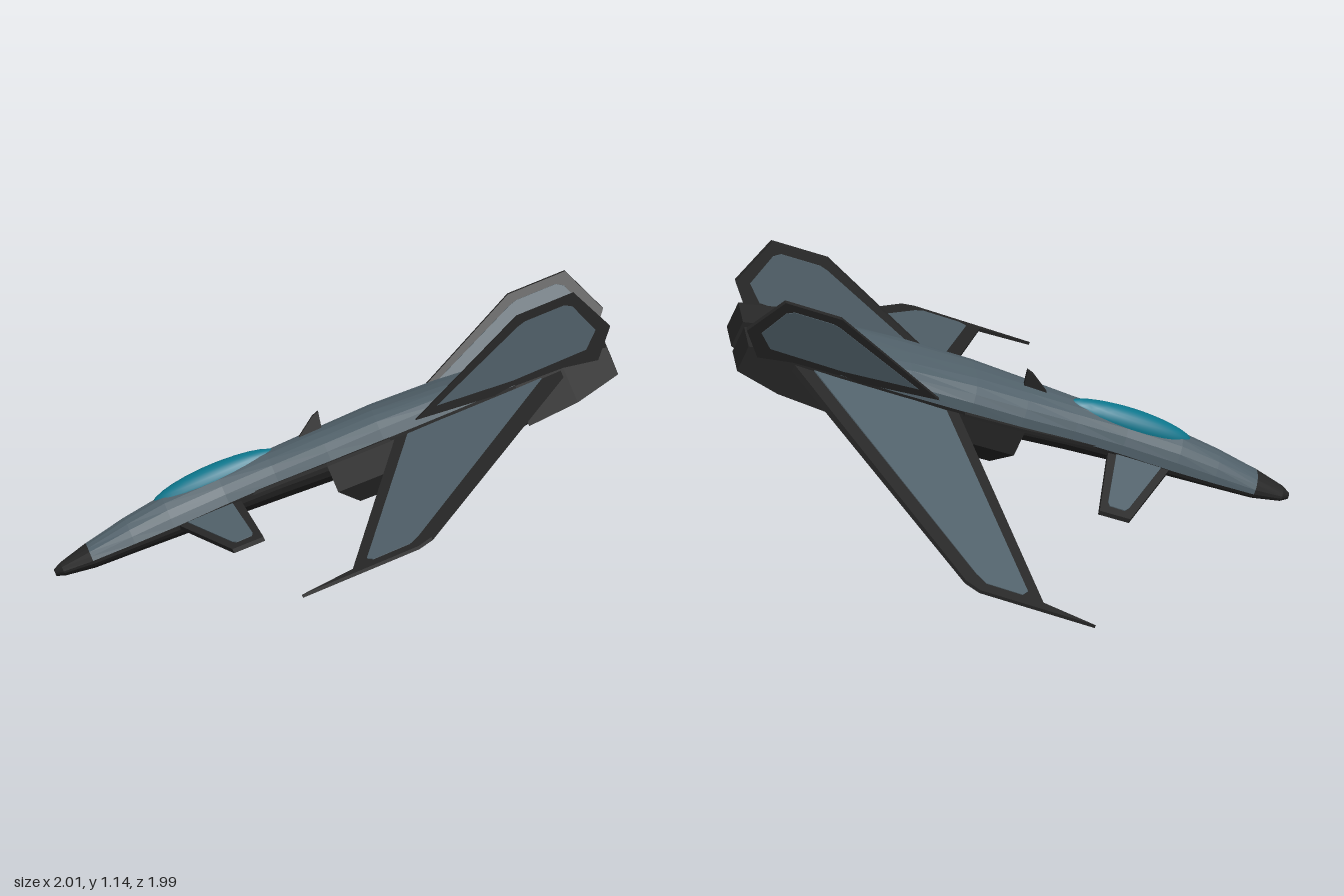
import * as THREE from 'three';

const mat = (name, color, side = THREE.FrontSide) => {
  const m = new THREE.MeshStandardMaterial({ color, side });
  m.name = name;
  return m;
};

// Aircraft axes: x runs from nose to tail, y is up, z points to the left wing.
export function createModel() {
  const dark = mat('dark trim', 0x272727);
  const grey = mat('slate panel', 0x51616a);
  const teal = mat('teal glass', 0x0c778d);

  const model = new THREE.Group();
  model.name = 'jet';
  const craft = new THREE.Group();
  craft.name = 'airframe';
  model.add(craft);

  const add = (name, geometry, material) => {
    const mesh = new THREE.Mesh(geometry, material);
    mesh.name = name;
    craft.add(mesh);
    return mesh;
  };

  // Flat-shaded skin over rings of [x, y, z], capped at both ends
  function loft(rings) {
    const n = rings[0].length, pos = [];
    const tri = (a, b, c) => pos.push(...a, ...b, ...c);
    for (let i = 0; i < rings.length - 1; i++) {
      for (let j = 0; j < n; j++) {
        const k = (j + 1) % n, p = rings[i], q = rings[i + 1];
        tri(p[j], q[j], p[k]);
        tri(p[k], q[j], q[k]);
      }
    }
    const first = rings[0], last = rings[rings.length - 1];
    for (let j = 1; j < n - 1; j++) {
      tri(first[0], first[j], first[j + 1]);
      tri(last[0], last[j + 1], last[j]);
    }
    const g = new THREE.BufferGeometry();
    g.setAttribute('position', new THREE.Float32BufferAttribute(pos, 3));
    g.computeVertexNormals();
    return g;
  }

  // Extruded outline whose points are moved by a rule; flip repairs mirrored winding
  function plate(outline, d0, d1, rule, flip) {
    const shape = new THREE.Shape(outline.map(p => new THREE.Vector2(...p)));
    const g = new THREE.ExtrudeGeometry(shape, { depth: d1 - d0, bevelEnabled: false });
    const p = g.attributes.position, pts = [];
    for (let i = 0; i < p.count; i++) pts.push(rule(p.getX(i), p.getY(i), p.getZ(i) + d0));
    if (flip) for (let i = 0; i < pts.length; i += 3) [pts[i + 1], pts[i + 2]] = [pts[i + 2], pts[i + 1]];
    const out = new THREE.BufferGeometry();
    out.setAttribute('position', new THREE.Float32BufferAttribute(pts.flat(), 3));
    out.computeVertexNormals();
    return out;
  }

  // Fuselage stations: x, half width, waterline, top, bottom, roundness
  const stations = [
    [0, 0.012, 0, 0.012, -0.012, 1],
    [0.03, 0.04, 0, 0.026, -0.022, 1],
    [0.14, 0.072, 0, 0.054, -0.037, 1],
    [0.3, 0.083, 0, 0.086, -0.043, 1],
    [0.45, 0.088, 0, 0.107, -0.05, 1],
    [0.66, 0.092, 0.005, 0.11, -0.06, 1],
    [0.85, 0.108, 0.01, 0.108, -0.07, 0.95],
    [1.05, 0.133, 0.01, 0.11, -0.08, 0.9],
    [1.25, 0.15, 0.01, 0.11, -0.09, 0.8],
    [1.5, 0.163, 0.01, 0.095, -0.1, 0.7],
    [1.75, 0.168, 0.01, 0.065, -0.1, 0.6],
  ];
  function halfRing([x, w, mid, top, bottom, e], upper) {
    const ring = [];
    for (let i = 0; i <= 10; i++) {
      const a = Math.PI * i / 10 + (upper ? 0 : Math.PI);
      const c = Math.cos(a), s = Math.abs(Math.sin(a)) ** e;
      ring.push([x, mid + s * (upper ? top - mid : bottom - mid), Math.sign(c) * Math.abs(c) ** e * w]);
    }
    return ring;
  }
  const nose = stations.slice(0, 3), body = stations.slice(2);
  for (const upper of [true, false]) {
    const side = upper ? 'upper' : 'lower';
    add(side + 'NoseCone', loft(nose.map(s => halfRing(s, upper))), dark);
    add(side + 'Fuselage', loft(body.map(s => halfRing(s, upper))), upper ? grey : dark);
  }

  // Canopy
  const canopy = add('canopy', new THREE.SphereGeometry(1, 24, 14), teal);
  canopy.scale.set(0.245, 0.056, 0.054);
  canopy.position.set(0.65, 0.085, 0);

  // Belly intake with a slanted mouth: x, top, bottom, half width, slant
  const intake = [
    [1.03, 0, -0.17, 0.138, 0.06],
    [1.5, 0, -0.18, 0.16, 0],
    [1.78, 0, -0.14, 0.165, 0],
  ].map(([x, t, b, w, d]) => [
    [x + d, b, 0.72 * w], [x, 0.6 * b, w], [x, t, w],
    [x, t, -w], [x, 0.6 * b, -w], [x + d, b, -0.72 * w],
  ]);
  add('intake', loft(intake), dark);

  // Blade antenna on the spine
  add('antenna', plate([[0.95, 0.09], [1.06, 0.09], [1.075, 0.168], [1.05, 0.16]],
    -0.009, 0.009, (x, y, d) => [x, y, d], false), dark);

  const wingOutline = [[1.305, 0.1], [0.975, 0.97], [0.774, 1.002], [1.218, 1.007], [1.274, 0.98], [1.97, 0.1]];
  const wingPanel = [[1.335, 0.16], [1.035, 0.94], [1.055, 0.965], [1.195, 0.965], [1.235, 0.93], [1.85, 0.16]];
  const canardOutline = [[0.455, 0.06], [0.609, 0.353], [0.727, 0.357], [0.7, 0.06]];
  const canardPanel = [[0.5, 0.09], [0.617, 0.31], [0.632, 0.325], [0.69, 0.325], [0.697, 0.31], [0.672, 0.09]];
  const finOutline = [[1.38, 0.035], [1.85, 0.247], [2.067, 0.244], [2.14, 0.075], [2.05, -0.03], [1.7, 0]];
  const finPanel = [[1.47, 0.055], [1.84, 0.21], [1.87, 0.218], [2.02, 0.216], [2.045, 0.2], [2.088, 0.085], [2.03, 0.03], [1.75, 0.03]];
  const strake = [[0.64, 0.08], [1.03, 0.145], [1.27, 0.17], [1.27, 0.08]];

  for (const side of [1, -1]) {
    const label = side > 0 ? 'left' : 'right';
    const flip = side > 0;

    // Forward-swept drooping wing, thinner towards the tip
    const wing = (x, s, d) => [x, -0.025 - 0.245 * (s - 0.19) + d * (1.2 - 0.7 * s), side * s];
    add(label + 'Wing', plate(wingOutline, -0.012, 0.012, wing, flip), dark);
    add(label + 'WingPanel', plate(wingPanel, 0.01, 0.016, wing, flip), grey);

    // Canard
    const canard = (x, s, d) => [x, -0.01 - 0.37 * (s - 0.09) + d, side * s];
    add(label + 'Canard', plate(canardOutline, -0.008, 0.008, canard, flip), dark);
    add(label + 'CanardPanel', plate(canardPanel, 0.006, 0.011, canard, flip), grey);

    // Edge strake
    add(label + 'Strake', plate(strake, -0.006, 0.006, (x, s, d) => [x, 0.005 + d, side * s], flip), dark);

    // Canted tail fin with a panel on each face
    const fin = (x, y, d) => [x, y, side * (0.155 + 0.24 * y + d)];
    add(label + 'Fin', plate(finOutline, -0.01, 0.01, fin, !flip), dark);
    add(label + 'FinOuterPanel', plate(finPanel, 0.008, 0.013, fin, !flip), grey);
    add(label + 'FinInnerPanel', plate(finPanel, -0.013, -0.008, fin, !flip), grey);

    // Flat exhaust nozzle
    const nozzle = [
      [1.74, 0.062, -0.145, 0.08],
      [1.93, 0.045, -0.135, 0.078],
      [2.1, 0.005, -0.1, 0.07],
    ].map(([x, t, b, w]) => {
      const c = side * 0.087;
      return [[x, b, c + w], [x, t, c + w], [x, t, c - w], [x, b, c - w]];
    });
    add(label + 'Nozzle', loft(nozzle), dark);
  }

  // Banked, nose-down attitude
  const left = new THREE.Vector3(-0.2155, 0.19, 0.957).normalize();
  const back = new THREE.Vector3(0.922, 0.364, 0.135);
  const up = left.clone().cross(back).normalize();
  back.crossVectors(up, left);
  craft.quaternion.setFromRotationMatrix(new THREE.Matrix4().makeBasis(back, up, left));
  craft.position.set(-1, 0.11, -0.2);
  return model;
}
